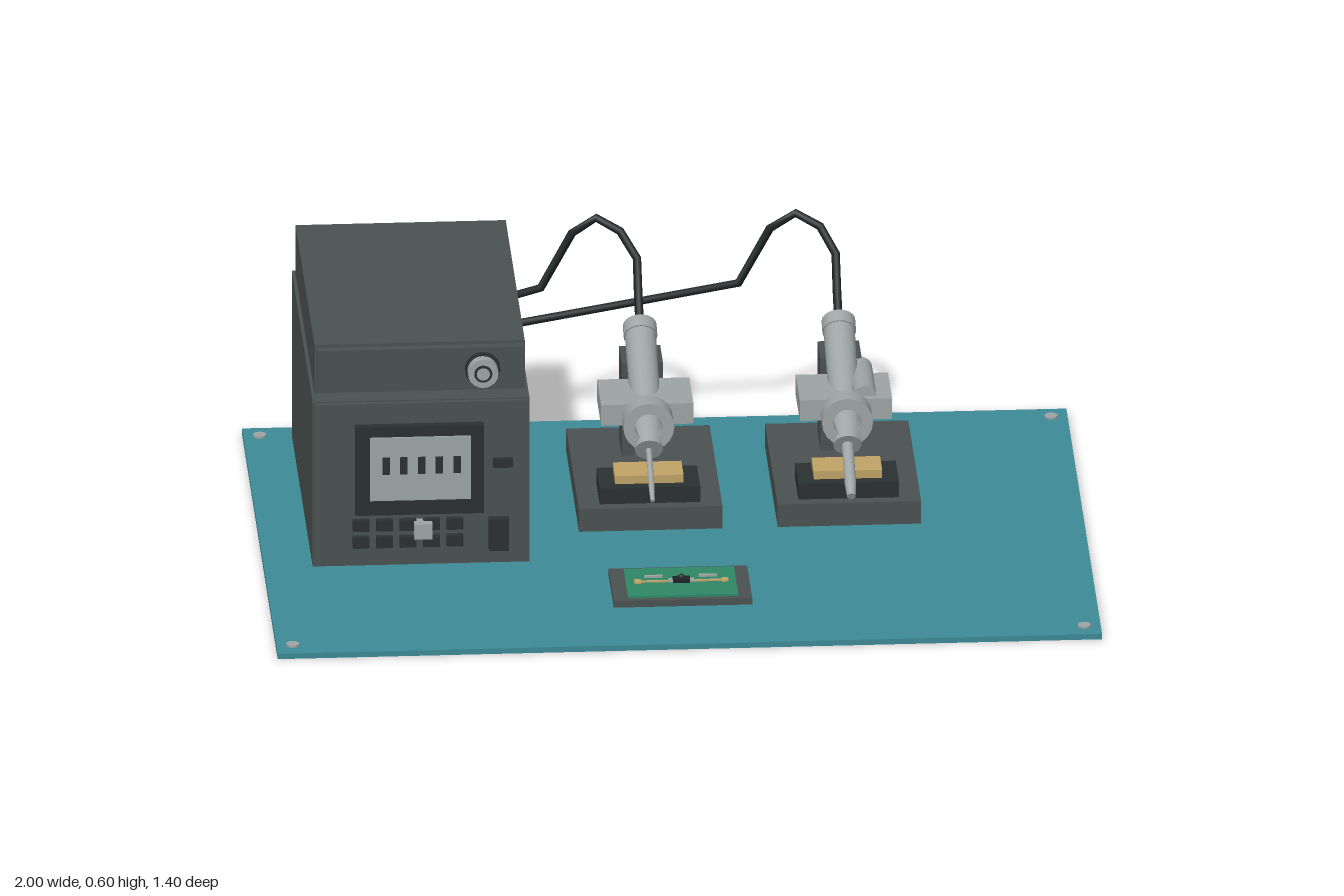
import * as THREE from 'three';

const mat = (name, color) => Object.assign(new THREE.MeshStandardMaterial({ color }), { name });

export function createModel() {
  const root = new THREE.Group();
  root.name = 'solderingBench';
  const teal = mat('teal mat', 0x3d8a97);
  const grey = mat('case grey', 0x4a5150);
  const dark = mat('dark plastic', 0x2b3031);
  const black = mat('cable black', 0x1f2324);
  const metal = mat('light metal', 0x9ea4a4);
  const green = mat('board green', 0x2f8768);
  const gold = mat('sponge tan', 0xc0a367);

  const add = (name, geo, m, x, y, z, parent = root) => {
    const mesh = new THREE.Mesh(geo, m);
    mesh.name = name;
    mesh.position.set(x, y, z);
    parent.add(mesh);
    return mesh;
  };
  // Box given by its extents on each axis
  const box = (name, m, x0, x1, y0, y1, z0, z1, parent = root) =>
    add(name, new THREE.BoxGeometry(x1 - x0, y1 - y0, z1 - z0), m,
      (x0 + x1) / 2, (y0 + y1) / 2, (z0 + z1) / 2, parent);
  // Cylinder lying along z
  const rod = (name, m, r, x, y, z0, z1, parent = root, sides = 20) => {
    const g = new THREE.CylinderGeometry(r, r, z1 - z0, sides).rotateX(Math.PI / 2);
    return add(name, g, m, x, y, (z0 + z1) / 2, parent);
  };

  // Work mat with corner studs
  box('workMat', teal, -1, 1, 0, 0.014, -0.7, 0.7);
  for (const x of [-0.96, 0.96]) for (const z of [-0.65, 0.65])
    add('matStud', new THREE.CylinderGeometry(0.016, 0.016, 0.006, 16), metal, x, 0.016, z);

  // Control station case
  const station = new THREE.Group();
  station.name = 'controlStation';
  root.add(station);
  const sBox = (...a) => box(...a, station);
  sBox('lowerCase', grey, -0.882, -0.356, 0.014, 0.446, -0.652, 0.165);
  sBox('frontPanel', grey, -0.877, -0.361, 0.035, 0.443, 0.165, 0.178);
  sBox('upperCase', grey, -0.874, -0.364, 0.446, 0.573, -0.635, 0.11);
  sBox('upperPanel', grey, -0.868, -0.37, 0.455, 0.565, 0.11, 0.13);
  rod('knobCollar', dark, 0.043, -0.468, 0.51, 0.13, 0.142, station);
  rod('knob', metal, 0.037, -0.468, 0.51, 0.142, 0.166, station);
  rod('knobFace', dark, 0.022, -0.468, 0.51, 0.166, 0.168, station);
  rod('knobCentre', metal, 0.016, -0.468, 0.51, 0.168, 0.17, station);

  // Display with indicator bars
  sBox('displayBezel', dark, -0.78, -0.468, 0.158, 0.39, 0.178, 0.198);
  sBox('screen', metal, -0.745, -0.5, 0.198, 0.363, 0.198, 0.203);
  for (let i = 0; i < 5; i++) {
    const x = -0.706 + i * 0.043;
    sBox('screenBar', dark, x - 0.009, x + 0.009, 0.268, 0.312, 0.203, 0.206);
  }

  // Front buttons, sockets and switch
  for (let i = 0; i < 5; i++) for (const y of [0.128, 0.084]) {
    const x = -0.766 + i * 0.057;
    sBox('button', dark, x - 0.02, x + 0.02, y - 0.014, y + 0.014, 0.178, 0.194);
  }
  sBox('selector', metal, -0.638, -0.594, 0.1, 0.139, 0.178, 0.217);
  sBox('indicator', dark, -0.445, -0.398, 0.272, 0.295, 0.178, 0.19);
  sBox('powerSwitch', dark, -0.456, -0.408, 0.058, 0.14, 0.178, 0.2);

  // Side vents
  for (let i = 0; i < 8; i++) {
    const z = -0.06 - i * 0.072;
    for (const [a, b] of [[-0.356, -0.352], [-0.886, -0.882]])
      if (a > -0.5) sBox('vent', dark, a, b, 0.363, 0.383, z - 0.011, z + 0.011);
  }

  // Rear connectors
  for (const x of [-0.765, -0.595, -0.435]) {
    rod('jackRing', metal, 0.025, x, 0.24, -0.67, -0.652, station, 16);
    rod('jackPlug', black, 0.017, x, 0.24, -0.68, -0.67, station, 16);
  }
  sBox('powerInlet', dark, -0.785, -0.675, 0.062, 0.135, -0.671, -0.652);
  sBox('rearSwitch', dark, -0.468, -0.412, 0.348, 0.396, -0.666, -0.652);

  // Tool stands, each holding a tilted iron
  const makeStand = (cx, shaftR) => {
    const g = new THREE.Group();
    g.name = 'toolStand';
    g.position.x = cx;
    root.add(g);
    const b = (...a) => box(...a, g);
    b('standBase', grey, -0.174, 0.174, 0.014, 0.073, -0.512, -0.01);
    b('spongeTray', dark, -0.122, 0.122, 0.073, 0.114, -0.168, -0.038);
    b('sponge', gold, -0.083, 0.083, 0.114, 0.135, -0.15, -0.064);
    b('post', grey, -0.05, 0.05, 0.073, 0.315, -0.445, -0.337);
    b('cradle', metal, -0.112, 0.112, 0.234, 0.288, -0.305, -0.145);
    const profile = [[0.034, -0.027], [0.062, -0.027], [0.062, 0.027], [0.034, 0.027], [0.034, -0.027]];
    for (let i = 0; i < 4; i++) {
      const pts = profile.slice(i, i + 2).map(p => new THREE.Vector2(...p));
      add('holderRing', new THREE.LatheGeometry(pts, 20).rotateX(Math.PI / 2), metal, 0, 0.253, -0.11, g);
    }

    // Iron, measured along its axis from the tip
    const iron = new THREE.Group();
    iron.name = 'iron';
    iron.position.set(0, 0.122, 0.066);
    iron.rotation.x = -1.117;
    g.add(iron);
    const part = (name, r0, r1, s0, s1) =>
      add(name, new THREE.CylinderGeometry(r1, r0, s1 - s0, 20), metal, 0, (s0 + s1) / 2, 0, iron);
    part('tip', shaftR * 0.75, shaftR, 0, 0.04);
    part('shaft', shaftR, shaftR, 0.04, 0.2);
    part('nut', 0.034, 0.036, 0.165, 0.2);
    part('grip', 0.036, 0.038, 0.2, 0.53);
    part('endCap', 0.041, 0.041, 0.53, 0.565);
    return g;
  };
  makeStand(-0.051, 0.007);
  const second = makeStand(0.431, 0.014);
  rod('sideChamber', metal, 0.029, 0.047, 0.285, -0.345, -0.163, second);

  // Cables, straight between their bends
  const cable = (...pts) => {
    const curve = new THREE.CatmullRomCurve3(pts.map(p => new THREE.Vector3(...p)));
    curve.getPointAt = curve.getPoint;
    curve.getTangentAt = curve.getTangent;
    add('cable', new THREE.TubeGeometry(curve, pts.length - 1, 0.0105, 8), black, 0, 0, 0);
  };
  cable([-0.765, 0.24, -0.672], [-0.28, 0.398, -0.622], [-0.205, 0.545, -0.61], [-0.147, 0.588, -0.6],
    [-0.09, 0.56, -0.58], [-0.051, 0.5, -0.55], [-0.051, 0.425, -0.5], [-0.051, 0.365, -0.435]);
  cable([-0.595, 0.24, -0.672], [0.2, 0.397, -0.625], [0.275, 0.545, -0.61], [0.337, 0.588, -0.6],
    [0.395, 0.56, -0.58], [0.431, 0.5, -0.55], [0.431, 0.425, -0.5], [0.431, 0.365, -0.435]);

  // Circuit board on its holder
  box('boardHolder', grey, -0.17, 0.166, 0.014, 0.031, 0.262, 0.465);
  box('circuitBoard', green, -0.135, 0.133, 0.031, 0.037, 0.279, 0.451);
  box('trace', gold, -0.11, 0.11, 0.037, 0.04, 0.361, 0.369);
  for (const s of [-1, 1]) {
    box('pad', gold, s * 0.106 - 0.008, s * 0.106 + 0.008, 0.037, 0.041, 0.355, 0.375);
    box('smallPart', metal, s * 0.066 - 0.022, s * 0.066 + 0.022, 0.037, 0.042, 0.333, 0.341);
    box('chipLeg', metal, s * 0.025 - 0.006, s * 0.025 + 0.006, 0.037, 0.043, 0.358, 0.372);
  }
  box('chip', black, -0.021, 0.021, 0.037, 0.047, 0.354, 0.376);
  add('solderBead', new THREE.SphereGeometry(0.008, 12, 8), dark, 0, 0.05, 0.368);

  return root;
}
